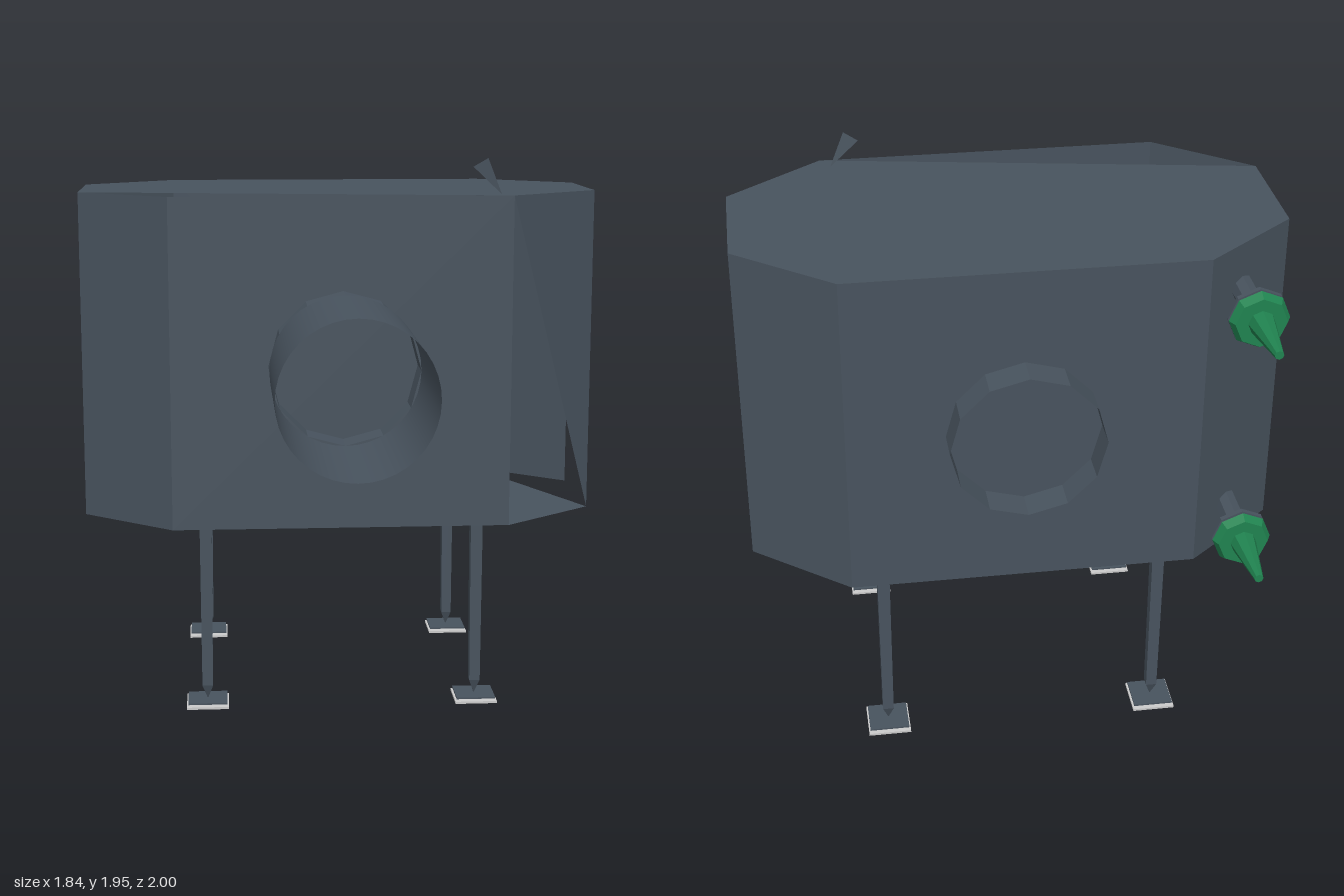
import * as THREE from 'three';

const dark = new THREE.MeshStandardMaterial({ color: 0x48535e, side: THREE.DoubleSide, flatShading: true });
const smoothDark = new THREE.MeshStandardMaterial({ color: 0x48535e, side: THREE.DoubleSide });
const green = new THREE.MeshStandardMaterial({ color: 0x208350, side: THREE.DoubleSide, flatShading: true });
const pale = new THREE.MeshStandardMaterial({ color: 0xcccccc, side: THREE.DoubleSide, flatShading: true });

const BOTTOM = 0.655, TOP = 1.82, DUCT_Y = 1.235;

function add(parent, name, geometry, material, x = 0, y = 0, z = 0) {
  const mesh = new THREE.Mesh(geometry, material);
  mesh.name = name;
  mesh.position.set(x, y, z);
  parent.add(mesh);
  return mesh;
}

// Flat convex sheet as a fan around its first corner
function sheet(corners) {
  const geo = new THREE.BufferGeometry();
  const pos = [];
  for (let i = 1; i < corners.length - 1; i++) pos.push(...corners[0], ...corners[i], ...corners[i + 1]);
  geo.setAttribute('position', new THREE.Float32BufferAttribute(pos, 3));
  geo.computeVertexNormals();
  return geo;
}

// Cylinder lying along z, between z0 (radius r0) and z1 (radius r1), z0 < z1
function tubeZ(r0, r1, z0, z1, sides, open) {
  const geo = new THREE.CylinderGeometry(r1, r0, z1 - z0, sides, 1, open);
  geo.rotateX(Math.PI / 2);
  geo.translate(0, 0, (z0 + z1) / 2);
  return geo;
}

export function createModel() {
  const model = new THREE.Group();
  model.name = 'tank';

  // Plan corners of the casing: front pair first, then round by the left side
  const plan = [
    [-0.6, 0.3], [0.59, 0.3], [0.92, 0.04], [0.92, -0.39],
    [0.59, -0.65], [-0.6, -0.65], [-0.92, -0.39], [-0.92, 0.04],
  ];
  const at = (i, y) => [plan[i][0], y, plan[i][1]];

  // Casing walls; the left side is open
  const casing = new THREE.Group();
  casing.name = 'casing';
  model.add(casing);
  const walls = {
    frontPanel: 0, backLeftPanel: 3, backPanel: 4,
    backRightPanel: 5, rightPanel: 6, frontRightPanel: 7,
  };
  for (const [name, i] of Object.entries(walls)) {
    const j = (i + 1) % 8;
    add(casing, name, sheet([at(i, BOTTOM), at(j, BOTTOM), at(j, TOP), at(i, TOP)]), dark);
  }
  // Half panel on the front left corner
  add(casing, 'frontLeftPanel', sheet([at(1, TOP), at(2, BOTTOM), at(2, TOP)]), dark);

  // Roof and floor with their cut corners
  add(casing, 'roof', sheet([7, 1, 2, 3, 4, 5, 6].map((i) => at(i, TOP))), dark);
  add(casing, 'floor', sheet([0, 6, 5, 4, 2, 1].map((i) => at(i, BOTTOM))), dark);

  // Front duct with a faceted collar, and rear duct
  add(model, 'frontDuct', tubeZ(0.26, 0.26, 0.42, 1, 40, true), smoothDark, 0, DUCT_Y);
  add(model, 'frontDuctCollar', tubeZ(0.26, 0.26, 0.24, 0.42, 12, true), dark, 0, DUCT_Y);
  add(model, 'rearDuct', tubeZ(0.26, 0.26, -0.76, -0.65, 12, true), dark, 0, DUCT_Y);

  // Small fin on the roof
  add(model, 'roofFin', sheet([[0.555, 1.82, 0.24], [0.505, 1.945, 0.245], [0.455, 1.915, 0.235]]), dark);

  // Pointed legs on square feet
  for (const x of [-0.485, 0.48]) {
    for (const z of [0.25, -0.59]) {
      const leg = new THREE.Group();
      leg.name = 'leg';
      leg.position.set(x, 0, z);
      model.add(leg);
      const post = new THREE.CylinderGeometry(0.03, 0.027, BOTTOM - 0.07, 4, 1, true);
      post.rotateY(Math.PI / 4);
      add(leg, 'legPost', post, dark, 0, (BOTTOM + 0.07) / 2);
      const tip = new THREE.CylinderGeometry(0.027, 0.002, 0.05, 4, 1, true);
      tip.rotateY(Math.PI / 4);
      add(leg, 'legTip', tip, dark, 0, 0.045);
      add(leg, 'footPlate', new THREE.BoxGeometry(0.14, 0.006, 0.13), dark, 0, 0.017);
      add(leg, 'footBase', new THREE.BoxGeometry(0.15, 0.008, 0.15), pale, 0, 0.004);
    }
  }

  // Two pipes through the back right corner, each with a flange and nozzle
  for (const y of [0.815, 1.66]) {
    const pipe = new THREE.Group();
    pipe.name = 'outlet';
    pipe.position.set(-0.73, y, 0);
    model.add(pipe);
    add(pipe, 'pipe', tubeZ(0.04, 0.04, -0.75, 0.02, 8, true), dark);
    add(pipe, 'flange', tubeZ(0.1, 0.1, -0.755, -0.737, 8, false), dark);
    add(pipe, 'nozzleFlange', tubeZ(0.085, 0.1, -0.795, -0.765, 8, false), green);
    add(pipe, 'nozzleNeck', tubeZ(0.05, 0.05, -0.77, -0.75, 8, false), green);
    add(pipe, 'nozzle', tubeZ(0.015, 0.045, -1, -0.79, 8, false), green);
  }

  return model;
}
